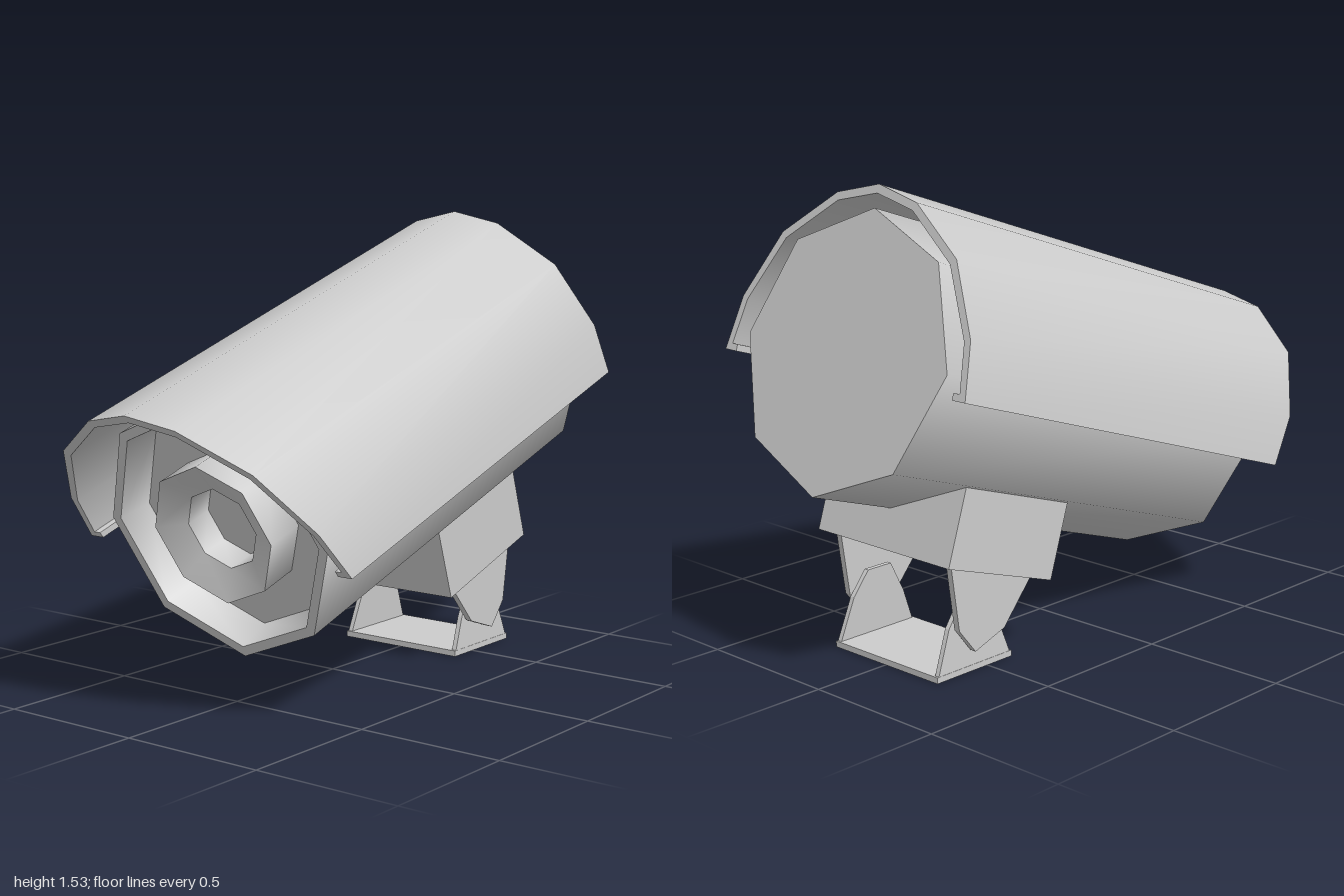
import * as THREE from 'three';
import { toCreasedNormals } from 'three/addons/utils/BufferGeometryUtils.js';

const material = new THREE.MeshStandardMaterial({ color: 0xcccccc });

function addMesh(parent, name, geometry) {
  const mesh = new THREE.Mesh(geometry, material);
  mesh.name = name;
  parent.add(mesh);
  return mesh;
}

function shapeFrom(points) {
  return new THREE.Shape(points.map(([x, y]) => new THREE.Vector2(x, y)));
}

// Flat plate outlined in [z, y], extruded along x from x0 to x1
function sidePlate(points, x0, x1) {
  const shape = shapeFrom(points.map(([z, y]) => [-z, y]));
  const geo = new THREE.ExtrudeGeometry(shape, { depth: x1 - x0, bevelEnabled: false });
  return geo.rotateY(Math.PI / 2).translate(x0, 0, 0);
}

// Octagonal housing with recessed front, raised lens ring and lens well
function housingGeometry() {
  const profile = [
    [0, -1.537], [0.445, -1.537], [0.445, 0], [0.41, 0], [0.39, -0.12],
    [0.24, -0.12], [0.24, 0.02], [0.14, -0.03], [0.14, -0.13], [0, -0.13],
  ].map(([r, z]) => new THREE.Vector2(r, z));
  const geo = new THREE.LatheGeometry(profile, 8).rotateX(Math.PI / 2);
  return toCreasedNormals(geo, 0.87);
}

// Sun hood: arched shell with inward lips, front end cut on a slant
function hoodGeometry() {
  const outer = [[0.54, -0.067], [0.51, 0.11], [0.387, 0.331], [0.175, 0.478], [0, 0.518]];
  const inner = [[0, 0.49], [0.165, 0.453], [0.365, 0.314], [0.486, 0.102], [0.512, -0.045],
    [0.487, -0.045], [0.487, -0.067]];
  const mirror = (pts) => pts.map(([x, y]) => [-x, y]).reverse();
  const outline = [...outer, ...mirror(outer).slice(1), ...mirror(inner), ...inner.slice(1)];
  const geo = new THREE.ExtrudeGeometry(shapeFrom(outline), { depth: 1, bevelEnabled: false });
  const pos = geo.attributes.position;
  for (let i = 0; i < pos.count; i++) {
    const front = 0.027 + 0.39 * (pos.getY(i) + 0.067);
    pos.setZ(i, pos.getZ(i) > 0.5 ? front : -1.54);
  }
  return toCreasedNormals(geo, 0.6);
}

export function createModel() {
  const model = new THREE.Group();
  model.name = 'securityCamera';

  // Tilted head, its origin at the centre of the housing front
  const head = new THREE.Group();
  head.name = 'cameraHead';
  head.position.set(0, 0.564, 0.596);
  head.rotation.x = 0.314;
  model.add(head);

  addMesh(head, 'housing', housingGeometry());
  addMesh(head, 'sunHood', hoodGeometry());
  addMesh(head, 'mountBlock', new THREE.BoxGeometry(0.6, 0.27, 0.48).translate(0, -0.44, -0.965));

  // Bracket: hanging prongs outside, base ears inside
  const bracket = new THREE.Group();
  bracket.name = 'bracket';
  model.add(bracket);

  const prong = [[-0.32, 0.27], [-0.45, 0.12], [-0.58, 0.075], [-0.65, 0.16], [-0.685, 0.39]];
  const ear = [[-0.39, 0], [-0.44, 0.13], [-0.5, 0.24], [-0.6, 0.24], [-0.66, 0.16], [-0.72, 0]];
  for (const side of [1, -1]) {
    const label = side > 0 ? 'left' : 'right';
    const span = (a, b) => (side > 0 ? [a, b] : [-b, -a]);
    addMesh(bracket, label + 'Prong', sidePlate(prong, ...span(0.243, 0.265)));

    // Ears lean slightly inward towards the top
    const earGeo = sidePlate(ear, ...span(0.22, 0.237));
    const pos = earGeo.attributes.position;
    for (let i = 0; i < pos.count; i++) pos.setX(i, pos.getX(i) - side * 0.05 * pos.getY(i));
    earGeo.computeVertexNormals();
    addMesh(bracket, label + 'Ear', earGeo);
  }
  addMesh(bracket, 'basePlate', new THREE.BoxGeometry(0.474, 0.02, 0.33).translate(0, 0.01, -0.555));

  return model;
}
